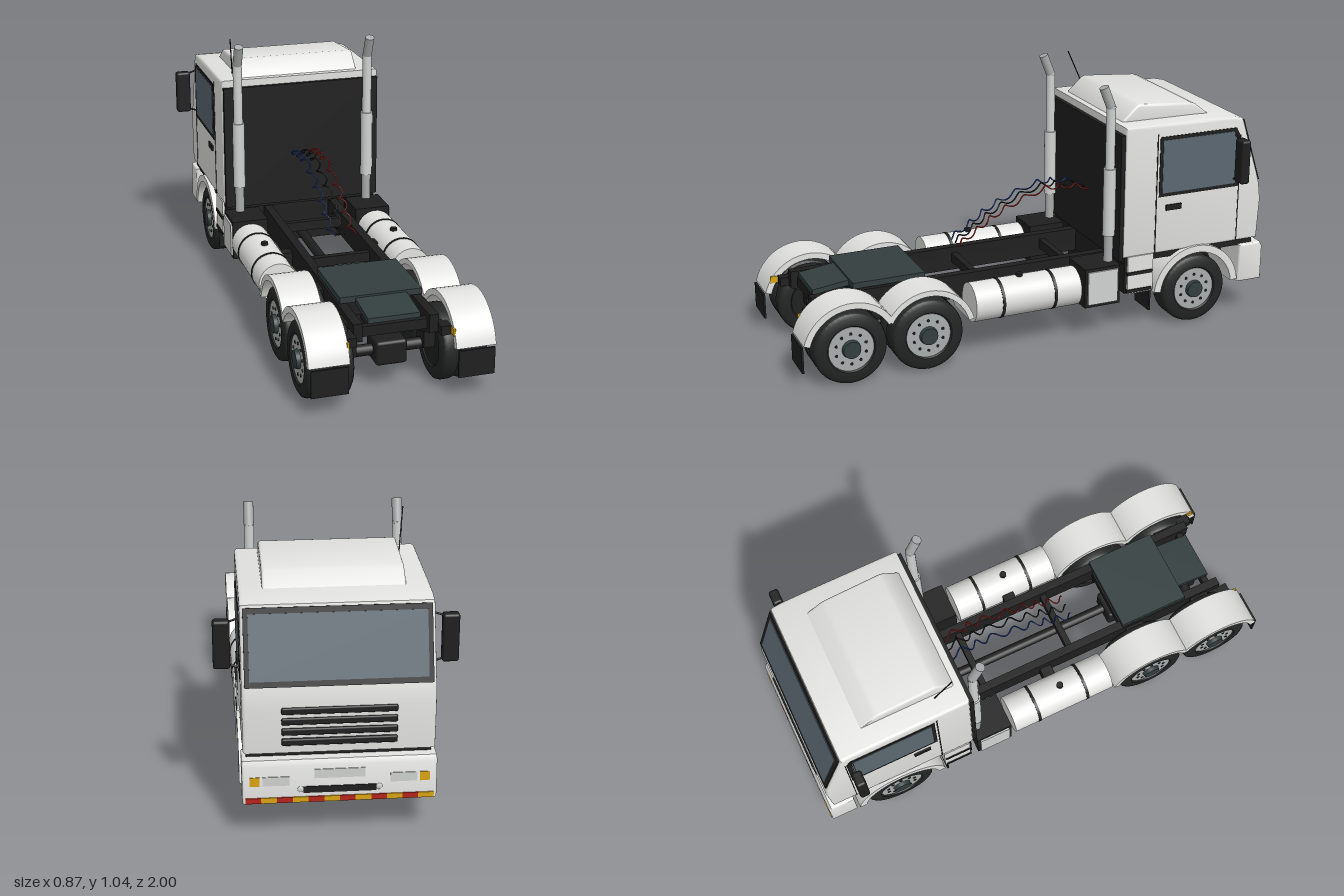
import * as THREE from 'three';
import { toCreasedNormals } from 'three/addons/utils/BufferGeometryUtils.js';
import { RoundedBoxGeometry } from 'three/addons/geometries/RoundedBoxGeometry.js';

const mat = (name, color) => {
  const m = new THREE.MeshStandardMaterial({ color });
  m.name = name;
  return m;
};
const white = mat('body white', 0xe2e2e0);
const black = mat('trim black', 0x1f1f1f);
const tyreMat = mat('tyre rubber', 0x232424);
const glass = mat('window glass', 0x5a6770);
const steel = mat('steel', 0xa9acac);
const slate = mat('coupling slate', 0x333e3f);
const red = mat('red', 0xb5241a);
const blue = mat('blue', 0x1f3f94);
const yellow = mat('yellow', 0xd9a514);
const lamp = mat('lamp grey', 0xcfd2d0);

export function createModel() {
  const root = new THREE.Group();
  root.name = 'tractorTruck';

  const add = (name, geo, m, x = 0, y = 0, z = 0, parent = root) => {
    const mesh = new THREE.Mesh(geo, m);
    mesh.name = name;
    mesh.position.set(x, y, z);
    parent.add(mesh);
    return mesh;
  };
  // box given by its limits
  const box = (name, m, x0, x1, y0, y1, z0, z1, round = 0) => {
    const s = [Math.abs(x1 - x0), y1 - y0, z1 - z0];
    const g = round ? new RoundedBoxGeometry(...s, 2, round) : new THREE.BoxGeometry(...s);
    return add(name, g, m, (x0 + x1) / 2, (y0 + y1) / 2, (z0 + z1) / 2);
  };
  // side profile of [z, y] points extruded across x
  const profile = (pts, width, bevel = 0) => {
    const shape = new THREE.Shape(pts.map(([z, y]) => new THREE.Vector2(-z, y)));
    const g = new THREE.ExtrudeGeometry(shape, {
      depth: width - 2 * bevel, bevelEnabled: bevel > 0, bevelSize: bevel,
      bevelThickness: bevel, bevelOffset: -bevel, bevelSegments: 3,
    });
    g.rotateY(Math.PI / 2).translate(-width / 2 + bevel, 0, 0);
    return toCreasedNormals(g, 0.6);
  };
  // rod between two points
  const rod = (name, m, a, b, r, sides = 16) => {
    const p = new THREE.Vector3(...a), q = new THREE.Vector3(...b);
    const mesh = add(name, new THREE.CylinderGeometry(r, r, p.distanceTo(q), sides), m);
    mesh.position.copy(p).add(q).multiplyScalar(0.5);
    mesh.quaternion.setFromUnitVectors(new THREE.Vector3(0, 1, 0), q.sub(p).normalize());
    return mesh;
  };
  // curved mudguard around a wheel centre
  const fender = (name, x, z, a0, a1, R, r, width) => {
    const pts = [], n = 20;
    for (let i = 0; i <= n; i++) pts.push([R, a0 + (a1 - a0) * i / n]);
    for (let i = n; i >= 0; i--) pts.push([r, a0 + (a1 - a0) * i / n]);
    const arc = pts.map(([d, a]) => [d * Math.cos(a), d * Math.sin(a)]);
    add(name, profile(arc, width), white, x, 0.145, z);
  };
  // tyre with rim, hub and bolts, outer face towards side s
  const wheel = (name, s, xIn, xOut, z, rimmed) => {
    const g = new THREE.Group(), w = xOut - xIn, h = w / 2;
    g.name = name;
    g.position.set(s * (xIn + xOut) / 2, 0.145, z);
    g.rotation.z = -s * Math.PI / 2;
    root.add(g);
    const pts = [[0.088, -h + 0.01], [0.095, -h], [0.128, -h], [0.141, -h + 0.008], [0.145, -h + 0.02],
      [0.145, h - 0.02], [0.141, h - 0.008], [0.128, h], [0.095, h], [0.088, h - 0.01]];
    const tyre = new THREE.LatheGeometry(pts.map(p => new THREE.Vector2(...p)), 40);
    add('tyre', toCreasedNormals(tyre, 0.7), tyreMat, 0, 0, 0, g);
    add('rim', new THREE.CylinderGeometry(0.09, 0.09, w - 0.012, 32), rimmed ? steel : black, 0, 0, 0, g);
    if (!rimmed) return;
    add('hub', new THREE.CylinderGeometry(0.034, 0.038, 0.02, 24), slate, 0, h, 0, g);
    for (let i = 0; i < 10; i++) {
      const a = i * Math.PI / 5;
      add('bolt', new THREE.CylinderGeometry(0.006, 0.006, 0.004, 8), black,
        0.062 * Math.cos(a), h - 0.005, 0.062 * Math.sin(a), g);
    }
  };

  // cab shell and roof pod
  add('cab', profile([[-0.345, 0.33], [-0.345, 0.875], [-0.7, 0.872], [-0.83, 0.867], [-0.877, 0.856],
    [-0.968, 0.572], [-0.978, 0.5], [-0.97, 0.33]], 0.684, 0.012), white);
  add('roofPod', profile([[-0.37, 0.865], [-0.375, 0.88], [-0.435, 0.935], [-0.45, 0.94], [-0.68, 0.922],
    [-0.7, 0.915], [-0.765, 0.865]], 0.512, 0.01), white);
  box('cabBackPanel', black, -0.336, 0.336, 0.32, 0.845, -0.346, -0.328);
  box('cabFloor', black, -0.33, 0.33, 0.305, 0.335, -0.95, -0.345);
  box('engineBlock', black, -0.2, 0.2, 0.13, 0.32, -0.92, -0.36);

  // windscreen on the sloped front
  const screen = new THREE.Group();
  screen.name = 'windscreen';
  screen.position.set(0, 0.714, -0.9225);
  screen.rotation.x = Math.atan2(0.091, 0.284);
  root.add(screen);
  add('screenFrame', new THREE.BoxGeometry(0.662, 0.278, 0.009), black, 0, 0, -0.002, screen);
  add('screenGlass', new THREE.BoxGeometry(0.628, 0.236, 0.009), glass, 0, 0, -0.005, screen);

  // grille slats
  for (let i = 0; i < 4; i++) box('grilleSlat', black, -0.205, 0.205, 0.362 + i * 0.04, 0.388 + i * 0.04, -0.984, -0.96, 0.006);

  // bumper, lamps and hazard strip
  add('bumper', profile([[-0.885, 0.145], [-0.885, 0.31], [-0.985, 0.31], [-0.996, 0.29], [-0.996, 0.145]], 0.694, 0.008), white);
  box('bumperSlot', black, -0.13, 0.13, 0.183, 0.208, -0.999, -0.99);
  box('bumperPlate', lamp, -0.09, 0.09, 0.24, 0.275, -0.999, -0.99);
  for (let i = 0; i < 12; i++) {
    const x = -0.336 + i * 0.056;
    box('hazardStripe', i % 2 ? red : yellow, x, x + 0.056, 0.147, 0.168, -1, -0.992);
  }

  // parts on both sides of the cab
  for (const s of [-1, 1]) {
    box('headlight', lamp, s * 0.18, s * 0.275, 0.215, 0.25, -0.999, -0.99);
    box('indicator', yellow, s * 0.285, s * 0.32, 0.215, 0.25, -0.999, -0.99);
    const fog = add('towEye', new THREE.SphereGeometry(0.012, 12, 8), lamp, s * 0.14, 0.197, -0.995);
    fog.scale.z = 0.4;
    add('doorWindowFrame', profile([[-0.497, 0.572], [-0.497, 0.822], [-0.845, 0.822], [-0.862, 0.79], [-0.862, 0.572]], 0.008), black, s * 0.341);
    add('doorWindow', profile([[-0.51, 0.587], [-0.51, 0.808], [-0.832, 0.808], [-0.846, 0.78], [-0.846, 0.587]], 0.008), glass, s * 0.343);
    box('doorGap', black, s * 0.338, s * 0.3435, 0.335, 0.835, -0.489, -0.484);
    box('doorGap', black, s * 0.338, s * 0.3435, 0.335, 0.79, -0.869, -0.865);
    box('doorHandle', black, s * 0.34, s * 0.349, 0.512, 0.535, -0.6, -0.53);
    box('mirror', black, s * 0.375, s * 0.436, 0.608, 0.79, -0.86, -0.82, 0.01);
    rod('mirrorArm', black, [s * 0.335, 0.797, -0.84], [s * 0.385, 0.78, -0.84], 0.004, 8);
    rod('mirrorArm', black, [s * 0.335, 0.603, -0.84], [s * 0.385, 0.62, -0.84], 0.004, 8);

    // front wheel arch and steps
    wheel('frontWheel', s, 0.235, 0.34, -0.68, true);
    fender('frontFender', s * 0.275, -0.68, 0.1, Math.PI - 0.1, 0.196, 0.166, 0.156);
    box('frontMudflap', black, s * 0.22, s * 0.34, 0.085, 0.2, -0.475, -0.467);
    box('stepBlock', white, s * 0.2, s * 0.345, 0.175, 0.335, -0.48, -0.365);
    for (const y of [0.18, 0.255]) box('stepTread', black, s * 0.26, s * 0.349, y, y + 0.014, -0.475, -0.362);
    box('stepBack', black, s * 0.2, s * 0.335, 0.175, 0.335, -0.37, -0.355);

    // exhaust stack
    rod('exhaustLower', steel, [s * 0.282, 0.3, -0.306], [s * 0.282, 0.42, -0.306], 0.019, 20);
    rod('exhaustMuffler', lamp, [s * 0.282, 0.42, -0.306], [s * 0.282, 0.7, -0.306], 0.025, 24);
    rod('exhaustUpper', lamp, [s * 0.282, 0.7, -0.306], [s * 0.282, 0.957, -0.306], 0.019, 20);
    rod('exhaustTip', steel, [s * 0.282, 0.945, -0.308], [s * 0.282, 1.035, -0.272], 0.019, 20);

    // battery box and fuel tank
    box('batteryBox', black, s * 0.195, s * 0.345, 0.145, 0.31, -0.33, -0.175);
    box('batteryCover', lamp, s * 0.344, s * 0.352, 0.158, 0.297, -0.318, -0.187);
    rod('fuelTank', white, [s * 0.275, 0.225, -0.157], [s * 0.275, 0.225, 0.294], 0.079, 36);
    for (const z of [-0.045, 0.178]) rod('tankStrap', black, [s * 0.275, 0.225, z - 0.006], [s * 0.275, 0.225, z + 0.006], 0.081, 36);
    rod('tankCap', black, [s * 0.275, 0.295, 0.082], [s * 0.275, 0.315, 0.082], 0.014);
    box('tankBracket', black, s * 0.15, s * 0.21, 0.2, 0.26, 0.045, 0.095);

    // chassis rail
    add('chassisRail', profile([[-0.9, 0.2], [-0.9, 0.3], [0.9, 0.3], [0.9, 0.23], [0.82, 0.2]], 0.035), black, s * 0.145);
    box('railEnd', black, s * 0.16, s * 0.2, 0.23, 0.265, 0.85, 0.935);

    // rear twin wheels and mudguards
    for (const z of [0.49, 0.8]) {
      wheel('rearOuterWheel', s, 0.242, 0.345, z, true);
      wheel('rearInnerWheel', s, 0.167, 0.236, z, false);
      box('springBracket', black, s * 0.13, s * 0.18, 0.14, 0.28, z - 0.04, z + 0.04);
    }
    fender('rearFender', s * 0.278, 0.49, 0.5, Math.PI - 0.25, 0.19, 0.168, 0.154);
    fender('rearFender', s * 0.278, 0.8, 0.25, Math.PI - 0.5, 0.193, 0.168, 0.154);
    box('rearMudflap', black, s * 0.208, s * 0.348, 0.082, 0.188, 0.988, 0.996);
    box('rearMarker', yellow, s * 0.197, s * 0.205, 0.235, 0.262, 0.93, 0.965);
  }

  // cross members, axles and rear gear
  for (const z of [-0.2, 0.2, 0.45, 0.86]) box('crossMember', black, -0.13, 0.13, 0.235, 0.275, z - 0.013, z + 0.013);
  for (const z of [-0.68, 0.49, 0.8]) rod('axle', black, [-0.25, 0.145, z], [0.25, 0.145, z], 0.022);
  for (const z of [0.49, 0.8]) box('axleHousing', black, -0.06, 0.06, 0.1, 0.195, z - 0.06, z + 0.06, 0.012);
  rod('driveShaft', black, [0, 0.17, -0.4], [0, 0.155, 0.8], 0.02);

  // coupling plate and ramp
  box('couplingPlate', slate, -0.16, 0.16, 0.308, 0.332, 0.435, 0.73);
  add('couplingRamp', profile([[0.7, 0.305], [0.7, 0.328], [0.875, 0.305], [0.875, 0.285]], 0.2), slate);
  box('couplingMount', black, -0.13, 0.13, 0.24, 0.31, 0.5, 0.7);

  // coiled air hoses
  const path = new THREE.CatmullRomCurve3([[0.25, 0.375], [0.165, 0.43], [0.09, 0.48], [-0.01, 0.525],
    [-0.14, 0.565], [-0.22, 0.565], [-0.335, 0.545]].map(([z, y]) => new THREE.Vector3(0, y, z)));
  [[-0.042, blue], [0, black], [0.042, red]].forEach(([x, m]) => {
    const pts = [];
    for (let i = 0; i <= 90; i++) {
      const t = i / 90, a = t * Math.PI * 2 * 8, p = path.getPoint(t);
      pts.push(p.add(new THREE.Vector3(x + 0.014 * Math.cos(a), 0.01 * Math.sin(a), 0)));
    }
    add('airHose', new THREE.TubeGeometry(new THREE.CatmullRomCurve3(pts), 180, 0.003, 6), m);
  });

  rod('antenna', black, [-0.268, 0.87, -0.46], [-0.29, 1.04, -0.39], 0.0025, 6);
  return root;
}
